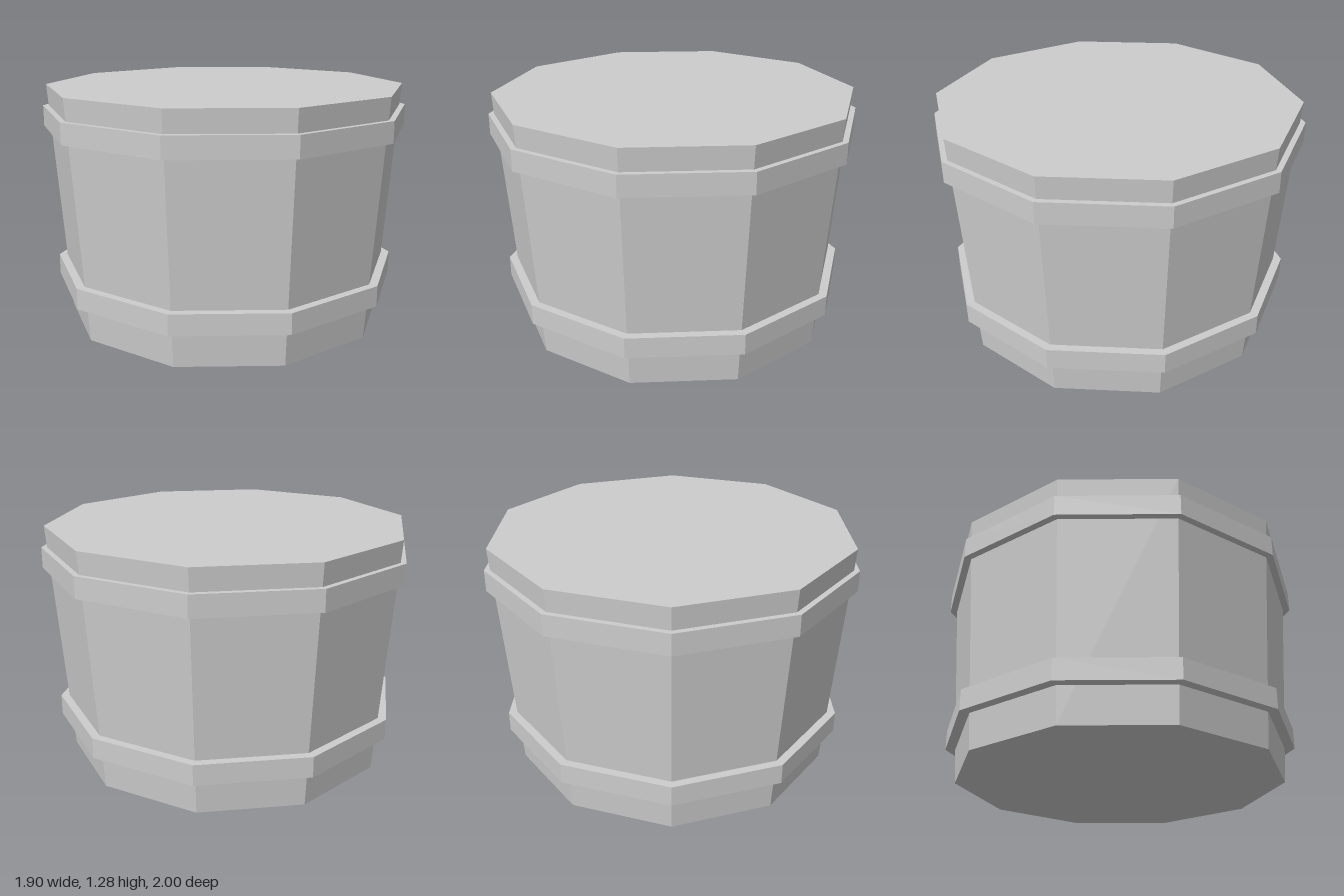
import * as THREE from 'three';

const SIDES = 10;

export function createModel() {
  const group = new THREE.Group();
  group.name = 'tub';
  const grey = new THREE.MeshStandardMaterial({ color: 0xcccccc, flatShading: true });
  grey.name = 'light grey';

  // Tapered ten-sided body, wider at the top, closed at both ends
  const height = 1.28, rBottom = 0.885, rTop = 0.978;
  const body = new THREE.Mesh(new THREE.CylinderGeometry(rTop, rBottom, height, SIDES), grey);
  body.name = 'body';
  body.position.y = height / 2;
  group.add(body);

  // Upright hoops around the body, their inner edges sunk just inside it
  const addHoop = (name, y0, y1, radius) => {
    const inner = (y) => rBottom + (rTop - rBottom) * y / height - 0.005;
    const profile = [[inner(y0), y0], [radius, y0], [radius, y1], [inner(y1), y1]]
      .map(([x, y]) => new THREE.Vector2(x, y));
    const hoop = new THREE.Mesh(new THREE.LatheGeometry(profile, SIDES), grey);
    hoop.name = name;
    group.add(hoop);
  };
  addHoop('lowerHoop', 0.19, 0.302, 0.953);
  addHoop('upperHoop', 1.052, 1.164, 1);

  return group;
}
